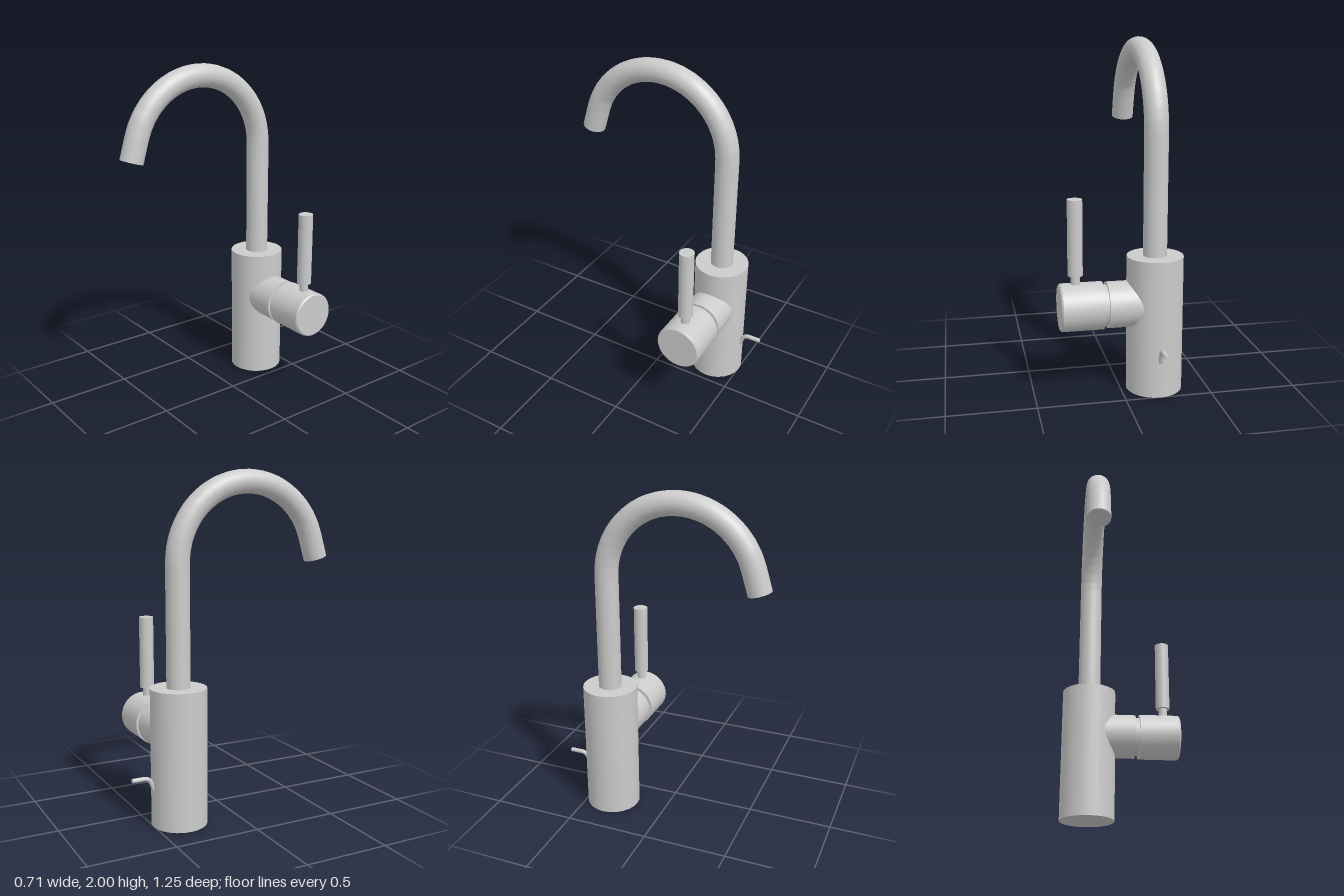
import * as THREE from 'three';
import { toCreasedNormals } from 'three/addons/utils/BufferGeometryUtils.js';

const X = -0.197, Z = -0.343; // axis of the body

export function createModel() {
  const model = new THREE.Group();
  const material = new THREE.MeshStandardMaterial({ color: 0xcccccc });

  const add = (name, geometry, x = 0, y = 0, z = 0) => {
    const mesh = new THREE.Mesh(geometry, material);
    mesh.name = name;
    mesh.position.set(x, y, z);
    model.add(mesh);
    return mesh;
  };
  // Upright cylinder between two heights
  const post = (name, r, y0, y1, x) =>
    add(name, new THREE.CylinderGeometry(r, r, y1 - y0, 24), x, (y0 + y1) / 2, Z);
  // Round pipe along a path in the yz plane, closed at its far end
  const pipe = (name, path, r, steps, sides) => {
    add(name, new THREE.TubeGeometry(path, steps, r, sides), X);
    const end = path.getPointAt(1);
    const cap = add(name + 'End', new THREE.CircleGeometry(r, sides), X, end.y, end.z);
    cap.lookAt(end.clone().add(path.getTangentAt(1)).setX(X));
  };

  // Body
  post('body', 0.162, 0, 0.795, X);

  // Swan-neck spout: straight riser, arc, short straight outlet
  const R = 0.44, cy = 1.492, cz = Z + R, endAngle = 0.29;
  const arcPoint = a => new THREE.Vector3(0, cy + R * Math.sin(a), cz + R * Math.cos(a));
  const points = [new THREE.Vector3(0, 0.78, Z)];
  for (let i = 0; i <= 20; i++) points.push(arcPoint(Math.PI + (endAngle - Math.PI) * i / 20));
  const outlet = new THREE.Vector3(0, -Math.cos(endAngle), Math.sin(endAngle));
  points.push(arcPoint(endAngle).addScaledVector(outlet, 0.135));
  const spoutPath = new THREE.CurvePath();
  for (let i = 1; i < points.length; i++) {
    spoutPath.add(new THREE.LineCurve3(points[i - 1], points[i]));
  }
  pipe('spout', spoutPath, 0.068, 64, 24);

  // Side valve: neck, groove and bevelled knob turned about the x axis
  const profile = [
    [0, -0.19], [0.132, -0.19], [0.132, 0.083], [0.116, 0.083], [0.116, 0.107],
    [0.136, 0.107], [0.136, 0.343], [0.128, 0.352], [0, 0.352],
  ].map(([r, x]) => new THREE.Vector2(r, x));
  const valve = add('valve',
    toCreasedNormals(new THREE.LatheGeometry(profile, 32), 0.5), 0, 0.518, Z);
  valve.rotation.z = -Math.PI / 2;

  // Lever
  post('leverStem', 0.026, 0.63, 0.71, 0.26);
  post('leverHandle', 0.043, 0.702, 1.135, 0.26);

  // Small bent pull rod at the back
  const rodPath = new THREE.CurvePath();
  const p = (y, z) => new THREE.Vector3(0, y, z);
  rodPath.add(new THREE.CubicBezierCurve3(p(0.21, -0.495), p(0.255, -0.515), p(0.293, -0.515), p(0.293, -0.56)));
  rodPath.add(new THREE.LineCurve3(p(0.293, -0.56), p(0.293, -0.63)));
  pipe('pullRod', rodPath, 0.013, 20, 12);

  return model;
}
